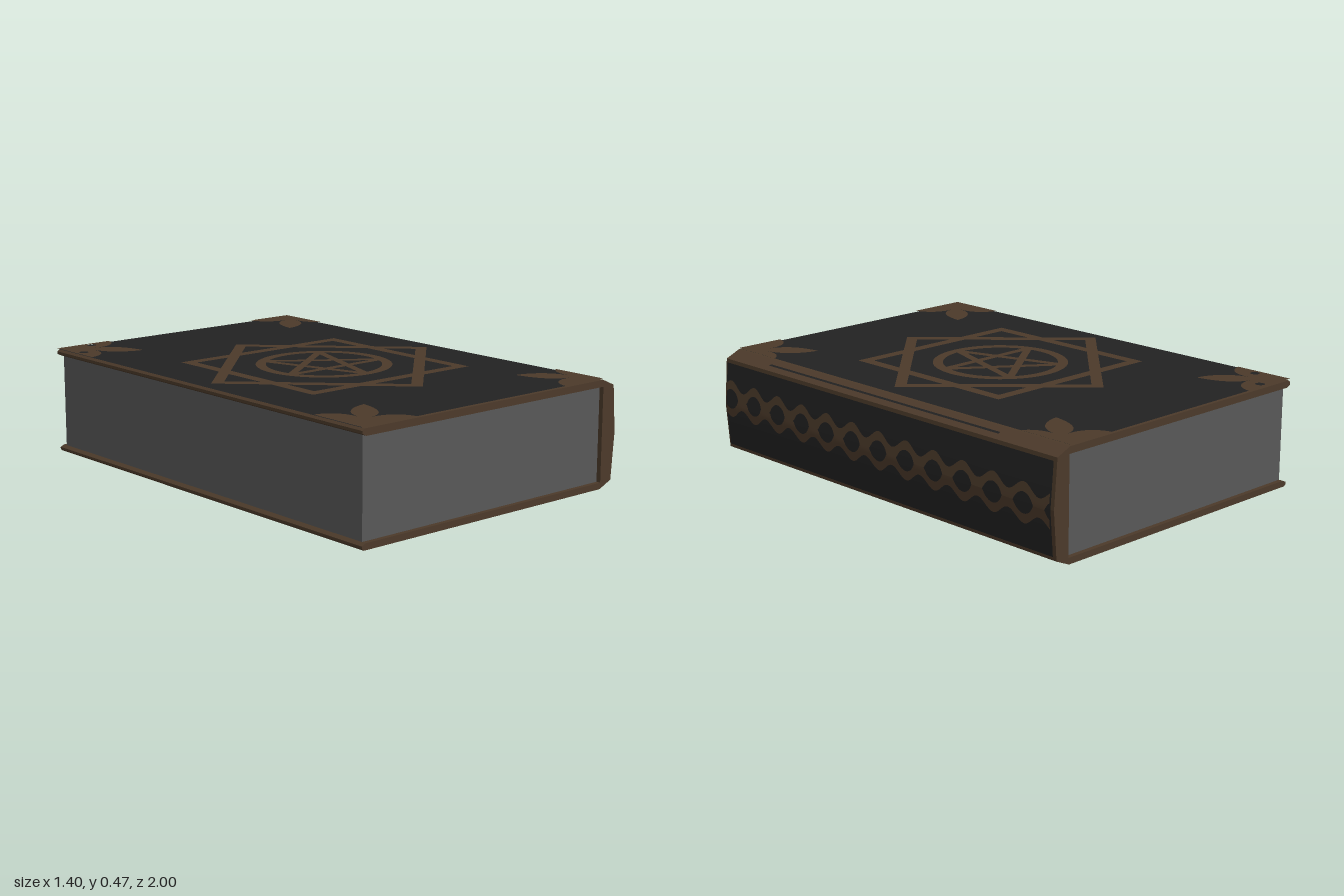
import * as THREE from 'three';

const mat = (name, color, side = THREE.FrontSide) => {
  const m = new THREE.MeshStandardMaterial({ color, side });
  m.name = name;
  return m;
};

export function createModel() {
  const book = new THREE.Group();
  book.name = 'book';
  const leather = mat('black leather', 0x222222);
  const bronze = mat('brown trim', 0x4c3a2a);
  const paper = mat('grey paper', 0x585858);

  const add = (name, geometry, material) => {
    const mesh = new THREE.Mesh(geometry, material);
    mesh.name = name;
    book.add(mesh);
    return mesh;
  };
  const poly = (pts) => new THREE.Shape(pts.map(([x, y]) => new THREE.Vector2(x, y)));

  // Binding: one C-shaped profile (covers and spine) run along z
  const binding = poly([
    [-0.69, 0.006], [0.612, 0.006], [0.678, 0.035], [0.694, 0.235], [0.678, 0.435], [0.612, 0.464],
    [-0.69, 0.464], [-0.7, 0.456], [-0.7, 0.445], [-0.68, 0.435], [0.615, 0.435],
    [0.615, 0.033], [-0.68, 0.033], [-0.7, 0.024], [-0.7, 0.014],
  ]);
  add('binding', new THREE.ExtrudeGeometry(binding, { depth: 2, bevelEnabled: false }).translate(0, 0, -1), bronze);

  // Page block
  add('pages', new THREE.BoxGeometry(1.297, 0.404, 1.96).translate(-0.032, 0.234, 0), paper);

  // Flat inlays: shapes drawn in (x, z), laid on the top or the bottom cover
  const inlay = (name, shapes, material, top, height) => {
    const flat = shapes.map((s) => {
      const { shape, holes } = s.extractPoints(10);
      const f = (p) => new THREE.Vector2(p.x, top ? -p.y : p.y);
      const out = new THREE.Shape(shape.map(f));
      out.holes = holes.map((h) => new THREE.Path(h.map(f)));
      return out;
    });
    const g = new THREE.ShapeGeometry(flat).rotateX(top ? -Math.PI / 2 : Math.PI / 2);
    add(name, g.translate(0, height, 0), material);
  };

  // Corner flower: two half petals along the edges and one diagonal petal
  const flower = (cx, cz, sx, sz, pierced) => {
    const s = new THREE.Shape();
    const p = (a, b) => [cx + sx * a, cz + sz * b];
    const curve = (...q) => s.bezierCurveTo(...p(q[0], q[1]), ...p(q[2], q[3]), ...p(q[4], q[5]));
    s.moveTo(...p(0, 0));
    s.lineTo(...p(0.27, 0));
    curve(0.26, 0.07, 0.2, 0.11, 0.13, 0.1);
    curve(0.22, 0.11, 0.25, 0.2, 0.26, 0.28);
    curve(0.18, 0.27, 0.11, 0.22, 0.1, 0.13);
    curve(0.11, 0.2, 0.07, 0.26, 0, 0.27);
    if (pierced) {
      for (const [a, b] of [[0.155, 0.035], [0.035, 0.155]]) {
        s.holes.push(new THREE.Path().absarc(...p(a, b), 0.02, 0, Math.PI * 2));
      }
    }
    return s;
  };

  for (const top of [true, false]) {
    const side = top ? 'top' : 'bottom';
    inlay(side + 'CoverLeather', [poly([[-0.697, -0.99], [0.605, -0.99], [0.605, 0.99], [-0.697, 0.99]])],
      leather, top, top ? 0.467 : 0.003);
    const flowers = [];
    for (const sz of [1, -1]) {
      flowers.push(flower(-0.699, -sz, 1, sz, sz > 0), flower(0.655, -sz, -1, sz, false));
    }
    // keep the flowers on the flat part of the cover
    for (const f of flowers) {
      const { shape, holes } = f.extractPoints(10);
      const clipped = new THREE.Shape(shape.map((q) => new THREE.Vector2(Math.min(q.x, 0.611), q.y)));
      clipped.holes = holes.map((h) => new THREE.Path(h));
      inlay(side + 'CornerFlower', [clipped], bronze, top, top ? 0.47 : 0);
    }
  }

  // Cover emblem: two crossed square frames, a ring and a five-pointed star
  const cx = -0.05, cz = 0.04;
  const ngon = (n, r, start, x = cx, z = cz) => Array.from({ length: n }, (_, i) => {
    const a = start + (i * 2 * Math.PI) / n;
    return [x + r * Math.cos(a), z + r * Math.sin(a)];
  });
  const frame = (n, outer, inner, start, x, z) => {
    const s = poly(ngon(n, outer, start, x, z));
    s.holes.push(new THREE.Path(ngon(n, inner, start, x, z).map(([a, b]) => new THREE.Vector2(a, b))));
    return s;
  };
  inlay('emblemSquare', [frame(4, 0.605, 0.538, Math.PI / 4)], bronze, true, 0.47);
  inlay('emblemDiamond', [frame(4, 0.597, 0.53, 0)], bronze, true, 0.4698);
  inlay('emblemRing', [frame(48, 0.288, 0.245, 0, -0.042, 0.03)], bronze, true, 0.47);
  const tips = ngon(5, 0.262, Math.PI / 2, -0.042, 0.03);
  tips.forEach(([ax, az], i) => {
    const [bx, bz] = tips[(i + 2) % 5];
    const len = Math.hypot(bx - ax, bz - az);
    const nx = (-(bz - az) / len) * 0.017, nz = ((bx - ax) / len) * 0.017;
    const bar = poly([[ax + nx, az + nz], [bx + nx, bz + nz], [bx - nx, bz - nz], [ax - nx, az - nz]]);
    inlay('emblemStarBar', [bar], bronze, true, 0.4692 + i * 0.0001);
  });

  // Spine inlays: strips that follow the bent spine between two heights
  const spineX = (y) => 0.694 - 0.016 * Math.abs(y - 0.235) / 0.2;
  const spineStrip = (name, zFront, zBack, steps, low, high, lift, material) => {
    const g = new THREE.PlaneGeometry(1, 1, steps, 4);
    const pos = g.attributes.position;
    for (let i = 0; i < pos.count; i++) {
      const z = THREE.MathUtils.lerp(zFront, zBack, pos.getX(i) + 0.5);
      const y = THREE.MathUtils.lerp(low(z), high(z), pos.getY(i) + 0.5);
      pos.setXYZ(i, spineX(y) + lift, y, z);
    }
    g.computeVertexNormals();
    add(name, g, material);
  };
  spineStrip('spineLeather', 0.99, -0.985, 1, () => 0.05, () => 0.42, 0.003, leather);

  // Spine chain: wavy upper and lower strands that meet between the links
  const wave = (z) => Math.cos((2 * Math.PI * (z - 0.626)) / 0.1635);
  const mid = (z) => 0.247 + 0.019 * z;
  const outer = (z) => 0.06 + 0.022 * wave(z);
  const inner = (z) => 0.043 * Math.sqrt(Math.max(0, (wave(z) + 0.3) / 1.3));
  spineStrip('spineChainUpper', 0.985, -0.98, 240, (z) => mid(z) + inner(z), (z) => mid(z) + outer(z), 0.006, bronze);
  spineStrip('spineChainLower', 0.985, -0.98, 240, (z) => mid(z) - outer(z), (z) => mid(z) - inner(z), 0.006, bronze);

  // Dark groove line along the upper hinge
  const groove = new THREE.PlaneGeometry(0.011, 1.4).rotateX(-Math.PI / 2).rotateZ(-Math.atan2(0.029, 0.066));
  add('hingeGroove', groove.translate(0.648, 0.4505, 0.03), leather);

  return book;
}
